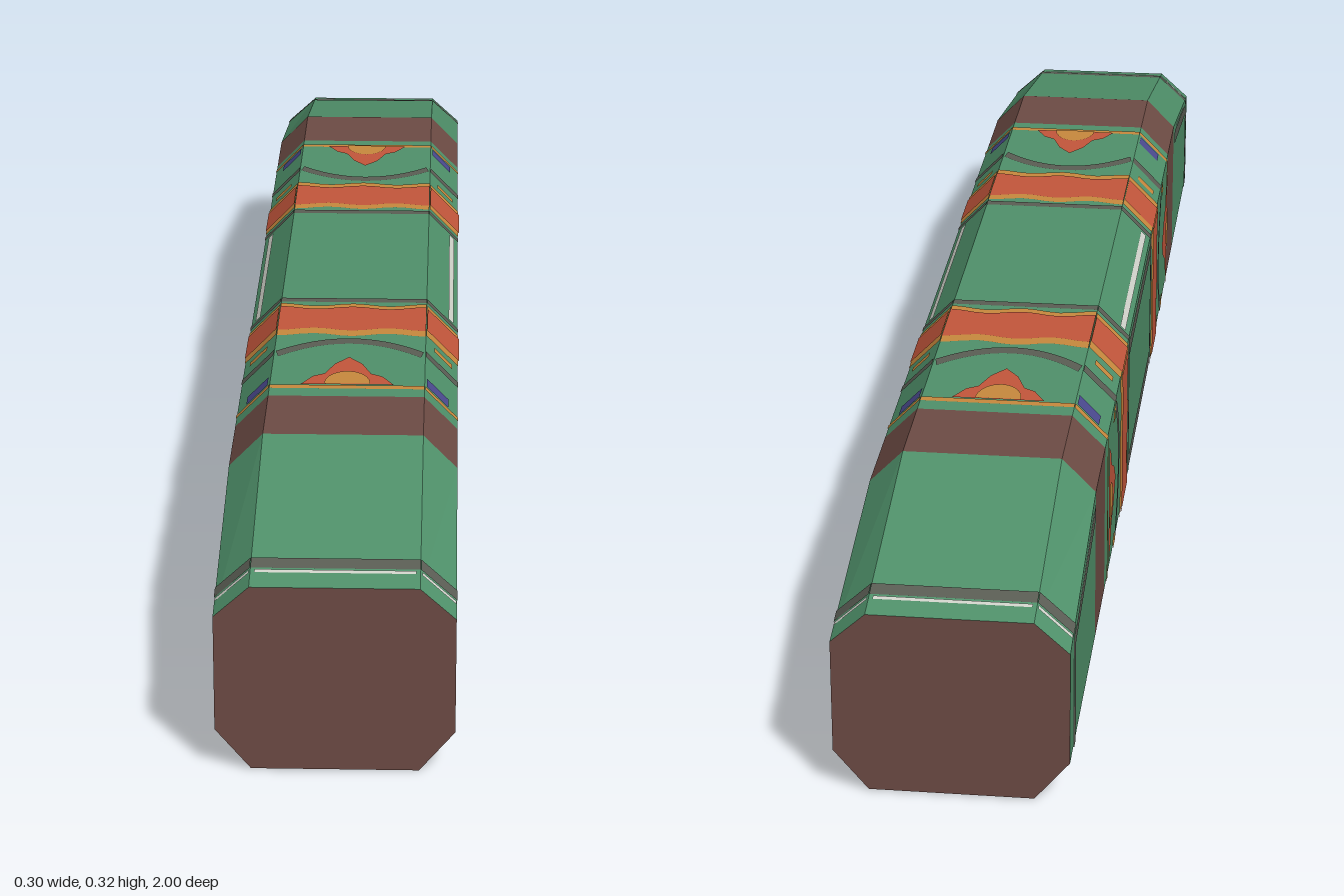
import * as THREE from 'three';
import { mergeGeometries } from 'three/addons/utils/BufferGeometryUtils.js';

const COLORS = {
  green: 0x50926b, brown: 0x6e4c45, red: 0xc5573c, orange: 0xc98a3e,
  grey: 0x5b5e55, blue: 0x4b4a90, white: 0xd2d4cc,
};

// Octagonal cross-section at z; the upper edges slope down beyond |z| = 0.68
function section(z) {
  const k = Math.max(0, (Math.abs(z) - 0.68) / 0.32);
  const top = 0.31 - 0.065 * k, shoulder = 0.265 - 0.06 * k;
  const half = [[0.103, 0], [0.147, 0.053], [0.147, shoulder], [0.103, top]];
  return [...half, ...half.map(([x, y]) => [-x, y]).reverse()];
}

// Point on facet i: u runs -1..1 across it, lift moves it outwards
function onFacet(i, u, z, lift = 0) {
  const s = section(z), a = s[i], b = s[(i + 1) % 8], t = (u + 1) / 2;
  const dx = b[0] - a[0], dy = b[1] - a[1], len = Math.hypot(dx, dy);
  return [a[0] + dx * t + dy / len * lift, a[1] + dy * t - dx / len * lift, z];
}

// Flat shape in (u, z) laid onto a facet
function patch(i, points, lift = 0) {
  const geo = new THREE.ShapeGeometry(new THREE.Shape(points.map(p => new THREE.Vector2(...p))));
  const pos = geo.attributes.position;
  for (let v = 0; v < pos.count; v++) pos.setXYZ(v, ...onFacet(i, pos.getX(v), pos.getY(v), lift));
  const flat = geo.toNonIndexed();
  flat.computeVertexNormals();
  return flat;
}

const rect = (u0, u1, z0, z1) => [[u0, z0], [u1, z0], [u1, z1], [u0, z1]];

// Strip between z0 and z1 with gently scalloped edges
function wavy(z0, z1, amp) {
  const near = [], far = [];
  for (let k = 0; k <= 12; k++) {
    const u = -1 + k / 6, w = amp * Math.cos(u * Math.PI * 2);
    near.push([u, z0 - w]);
    far.unshift([u, z1 + w]);
  }
  return [...near, ...far];
}

// Curved strip bending towards the middle of the beam
function arch(z, depth, thick, reach) {
  const inner = [], outer = [];
  for (let k = 0; k <= 12; k++) {
    const u = -1 + k / 6, c = z + depth * u * u;
    inner.push([u * reach, c]);
    outer.unshift([u * reach * 0.96, c + thick]);
  }
  return [...inner, ...outer];
}

function halfDisc(ru, rz, z) {
  const pts = [];
  for (let k = 0; k <= 10; k++) {
    const a = Math.PI * k / 10;
    pts.push([ru * Math.cos(a), z - rz * Math.sin(a)]);
  }
  return pts;
}

export function createModel() {
  const group = new THREE.Group();
  const mats = {};
  for (const [name, color] of Object.entries(COLORS)) {
    mats[name] = new THREE.MeshStandardMaterial({ color });
    mats[name].name = name;
  }
  const parts = {};
  const add = (part, color, geo) => {
    const key = part + '|' + color;
    (parts[key] = parts[key] || []).push(geo);
  };

  // Beam skin: green ends, brown collars, green middle, brown underside
  const zones = [[-1, -0.68, 'green', 'end'], [-0.68, -0.55, 'brown', 'collar'],
    [-0.55, 0.55, 'green', 'middle'], [0.55, 0.68, 'brown', 'collar'], [0.68, 1, 'green', 'end']];
  for (const [z0, z1, color, part] of zones) {
    for (let i = 0; i < 8; i++) {
      const under = i === 7 && part !== 'end';
      add(under ? 'underside' : part, under ? 'brown' : color, patch(i, rect(-1, 1, z0, z1)));
    }
  }

  // End caps
  for (const s of [1, -1]) {
    const cap = new THREE.ShapeGeometry(new THREE.Shape(section(1).map(p => new THREE.Vector2(...p))));
    if (s < 0) cap.rotateY(Math.PI);
    cap.translate(0, 0, s);
    add('endCap', 'brown', cap.toNonIndexed());
  }

  // Painted ornament, mirrored front to back
  for (const s of [1, -1]) {
    for (let i = 0; i < 7; i++) {
      const m = i < 3 ? 1 : -1;
      const side = i === 1 || i === 5, top = i === 3;
      const upper = i === 2 || i === 4, lower = i === 0 || i === 6;
      const paint = (part, color, pts, layer = 1) =>
        add(part, color, patch(i, pts.map(([u, z]) => [u * m, z * s]), 0.0012 * layer));

      // Cross bands
      const amp = side || top ? 0.005 : 0;
      paint('panelBorder', 'grey', rect(-1, 1, 0.185, 0.2));
      paint('bandEdge', 'orange', wavy(0.211, 0.328, amp));
      paint('crossBand', 'red', wavy(0.226, 0.31, amp), 2);
      paint('flowerLine', 'orange', rect(-1, 1, 0.514, 0.526));
      paint('endBorder', 'grey', rect(-1, 1, 0.943, 0.963));
      if (!lower) paint('endHighlight', 'white', rect(-0.95, 0.95, 0.966, 0.972));

      // Flower motif with arches
      if (side || top) {
        const w = side ? 0.85 : 0.6;
        paint('flower', 'red', [[-w, 0.514], [-w * 0.75, 0.485], [-w * 0.5, 0.475], [-w * 0.3, 0.44],
          [0, 0.415], [w * 0.3, 0.44], [w * 0.5, 0.475], [w * 0.75, 0.485], [w, 0.514]], 2);
        paint('flowerHeart', 'orange', halfDisc(0.3, 0.045, 0.514), 3);
        paint('arch', 'grey', arch(0.342, 0.05, 0.02, 0.98));
        if (side) paint('archTip', 'orange', [[0.8, 0.415], [1, 0.4], [1, 0.43], [0.85, 0.44]]);
        if (side) paint('archTip', 'orange', [[-0.8, 0.415], [-1, 0.4], [-1, 0.43], [-0.85, 0.44]]);
      }

      // Blue buds and curls on the chamfers
      if (upper || lower) {
        paint('bud', 'blue', rect(upper ? -0.4 : -0.2, upper ? 0.9 : 0.7, 0.482, 0.51));
        paint('arch', 'grey', rect(-1, 1, 0.388, 0.408));
        paint('curl', 'orange', rect(-0.6, 0.5, 0.345, 0.36));
      }

      // Long frame lines of the middle panel and the ends
      if (side) {
        paint('panelLine', 'grey', rect(0.74, 0.95, 0, 0.19));
        paint('panelLine', 'grey', rect(-0.95, -0.76, 0, 0.19));
        paint('endLine', 'grey', rect(0.7, 0.92, 0.69, 0.945));
        paint('endHighlight', 'white', rect(0.94, 0.98, 0.72, 0.9));
      }
      if (upper) paint('panelHighlight', 'white', rect(-0.7, -0.38, 0, 0.18));
      if (lower) {
        paint('endLine', 'grey', rect(0.05, 0.7, 0.69, 0.945));
        paint('endHighlight', 'white', rect(-0.15, 0.03, 0.7, 0.78));
      }
    }
  }

  for (const [key, geos] of Object.entries(parts)) {
    const [part, color] = key.split('|');
    const mesh = new THREE.Mesh(mergeGeometries(geos), mats[color]);
    mesh.name = part;
    group.add(mesh);
  }
  return group;
}
